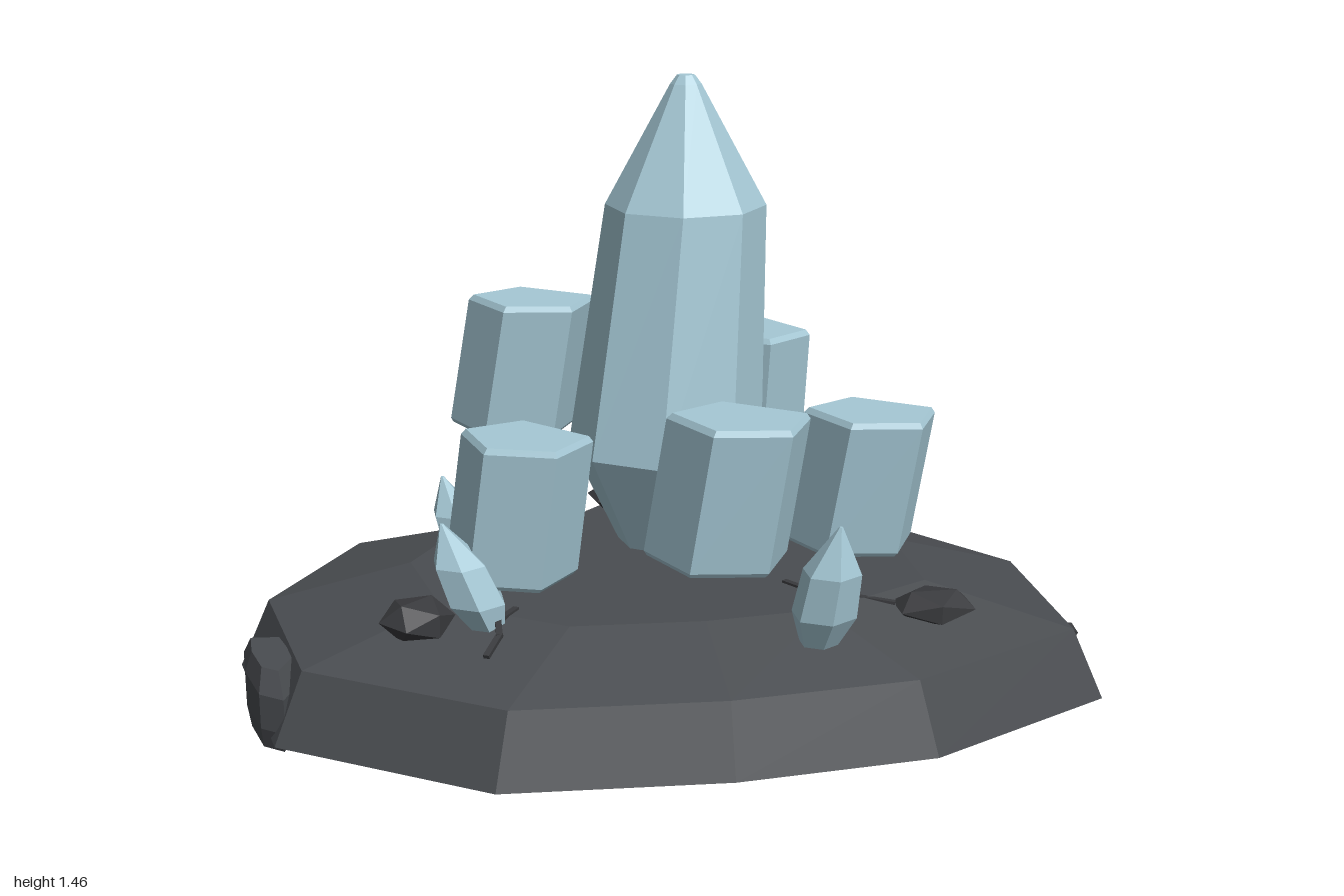
import * as THREE from 'three';

const stone = new THREE.MeshStandardMaterial({ color: 0x4a4d51 });
stone.name = 'slate';
const darkStone = new THREE.MeshStandardMaterial({ color: 0x3a3b3e });
darkStone.name = 'darkSlate';
const crystal = new THREE.MeshStandardMaterial({ color: 0xa6c9d6 });
crystal.name = 'paleBlueCrystal';

// Faceted closed solid through rings of [x, y, z], listed from bottom to top
function loft(rings) {
  const pos = [];
  const n = rings[0].length;
  const tri = (...pts) => pts.forEach((p) => pos.push(...p));
  for (let i = 0; i < rings.length - 1; i++) {
    for (let j = 0; j < n; j++) {
      const k = (j + 1) % n;
      const a = rings[i][j], b = rings[i][k], c = rings[i + 1][j], d = rings[i + 1][k];
      tri(a, c, b);
      tri(b, c, d);
    }
  }
  const middle = (r) => [0, 1, 2].map((q) => r.reduce((s, p) => s + p[q], 0) / n);
  const low = rings[0], high = rings[rings.length - 1];
  const lowMid = middle(low), highMid = middle(high);
  for (let j = 0; j < n; j++) {
    const k = (j + 1) % n;
    tri(lowMid, low[j], low[k]);
    tri(highMid, high[k], high[j]);
  }
  const g = new THREE.BufferGeometry();
  g.setAttribute('position', new THREE.Float32BufferAttribute(pos, 3));
  g.computeVertexNormals();
  return g;
}

// An [x, z] outline scaled about a centre, set at height y
const outlineRing = (outline, cx, cz, y, s) =>
  outline.map(([x, z]) => [cx + (x - cx) * s, y, cz + (z - cz) * s]);

// A regular ring
const roundRing = (n, x, y, z, r, phase = 0) =>
  Array.from({ length: n }, (_, i) => {
    const a = phase + (i / n) * Math.PI * 2;
    return [x + Math.cos(a) * r, y, z + Math.sin(a) * r];
  });

export function createModel() {
  const model = new THREE.Group();
  const add = (name, geometry, material) => {
    const m = new THREE.Mesh(geometry, material);
    m.name = name;
    model.add(m);
    return m;
  };

  // Slab of rock
  const slab = [[1, 0.27], [0.6, 0.59], [0.17, 0.72], [-0.32, 0.79], [-0.82, 0.59], [-1, 0.15],
    [-0.85, -0.28], [-0.38, -0.48], [0.07, -0.76], [0.55, -0.53], [0.91, -0.2]];
  add('rockSlab', loft([[0, 0.72], [0.08, 1], [0.24, 0.93], [0.32, 0.6]]
    .map(([y, s]) => outlineRing(slab, 0, 0, y, s))), stone);

  // Lumps merged into the slab rim
  const backLump = [[0.12, -0.62], [0, -0.54], [-0.22, -0.54], [-0.28, -0.58], [-0.19, -0.71],
    [-0.03, -0.8], [0.09, -0.75]];
  add('backBoulder', loft([[0.02, 0.75], [0.06, 0.97], [0.17, 1], [0.22, 0.8], [0.24, 0.5]]
    .map(([y, s]) => outlineRing(backLump, -0.08, -0.64, y, s))), stone);
  const sideLump = [[-0.78, 0.45], [-0.8, 0.57], [-0.86, 0.54], [-0.92, 0.42], [-0.95, 0.31], [-0.86, 0.3]];
  add('sideBoulder', loft([[0.05, 0.85], [0.1, 1], [0.18, 1], [0.23, 0.7]]
    .map(([y, s]) => outlineRing(sideLump, -0.86, 0.43, y, s))), stone);

  // Loose stones: position, half sizes, turn
  [[-0.13, 0.31, -0.47, 0.1, 0.045, 0.08, 0.4],
    [-0.53, 0.315, 0.43, 0.085, 0.05, 0.085, 0.9],
    [0.61, 0.305, 0.28, 0.1, 0.04, 0.08, 0.2],
    [0.945, 0.165, 0.085, 0.025, 0.025, 0.03, 0.5]].forEach(([x, y, z, a, b, c, turn]) => {
    const m = add('looseStone', new THREE.IcosahedronGeometry(1, 0).scale(a, b, c), darkStone);
    m.position.set(x, y, z);
    m.rotation.y = turn;
  });

  // Cracks across the top
  [[[-0.14, 0.312, -0.4], [-0.15, 0.321, -0.36], [-0.12, 0.321, -0.3], [-0.09, 0.321, -0.23]],
    [[0.28, 0.321, 0.19], [0.34, 0.321, 0.25], [0.43, 0.319, 0.27], [0.52, 0.309, 0.28]],
    [[-0.36, 0.29, 0.57], [-0.34, 0.312, 0.51], [-0.35, 0.321, 0.45], [-0.32, 0.321, 0.38]]]
    .forEach((path) => {
      for (let i = 0; i < path.length - 1; i++) {
        const a = new THREE.Vector3(...path[i]), b = new THREE.Vector3(...path[i + 1]);
        const m = add('crack', new THREE.BoxGeometry(0.014, 0.009, a.distanceTo(b) + 0.008), darkStone);
        m.position.copy(a).lerp(b, 0.5);
        m.lookAt(b);
      }
    });

  // Tall central crystal, leaning slightly: x, y, z, radius
  add('mainCrystal', loft([[0, 0.39, 0.09, 0.11], [0, 0.62, 0.085, 0.222], [0.045, 1.17, 0.05, 0.182],
    [0.045, 1.44, 0.05, 0.035], [0.045, 1.46, 0.05, 0.02]]
    .map(([x, y, z, r]) => roundRing(8, x, y, z, r))), crystal);

  // Floating five-sided prisms: top centre, top height, turn, base shift
  const pentagon = [[0.15, -0.04], [0.11, 0.1], [-0.05, 0.11], [-0.15, -0.03], [-0.04, -0.13]];
  [[0.17, 0.53, 0.81, 0, -0.05, -0.03],
    [0.47, 0.12, 0.71, 0, -0.05, -0.03],
    [-0.33, -0.14, 0.91, 0, -0.055, -0.02],
    [-0.3, 0.35, 0.71, 0.2, -0.045, -0.02],
    [0.19, -0.28, 0.81, 0.45, -0.02, -0.03]].forEach(([x, z, top, turn, dx, dz]) => {
    const c = Math.cos(turn), s = Math.sin(turn);
    const ring = (t, scale) => pentagon.map(([px, pz]) => [
      x + dx * (1 - t) + (px * c - pz * s) * scale,
      top - 0.325 * (1 - t),
      z + dz * (1 - t) + (px * s + pz * c) * scale]);
    add('prismCrystal', loft([ring(0, 0.97), ring(0.03, 1.02), ring(0.96, 1), ring(1, 0.93)]), crystal);
  });

  // Small pointed crystals: base, tip, widest radius
  [[[0.345, 0.29, 0.47], [0.385, 0.57, 0.52], 0.072],
    [[-0.375, 0.3, 0.43], [-0.47, 0.535, 0.43], 0.068],
    [[-0.45, 0.3, 0.08], [-0.52, 0.53, 0.08], 0.06],
    [[0.015, 0.3, -0.34], [0.0, 0.62, -0.4], 0.052]].forEach(([base, tip, r]) => {
    const rings = [[0, 0.6], [0.25, 1], [0.62, 0.9], [1, 0.06]].map(([t, s]) => {
      const p = base.map((v, i) => v + (tip[i] - v) * t);
      return roundRing(6, ...p, r * s, 0.3);
    });
    add('smallCrystal', loft(rings), crystal);
  });

  return model;
}
